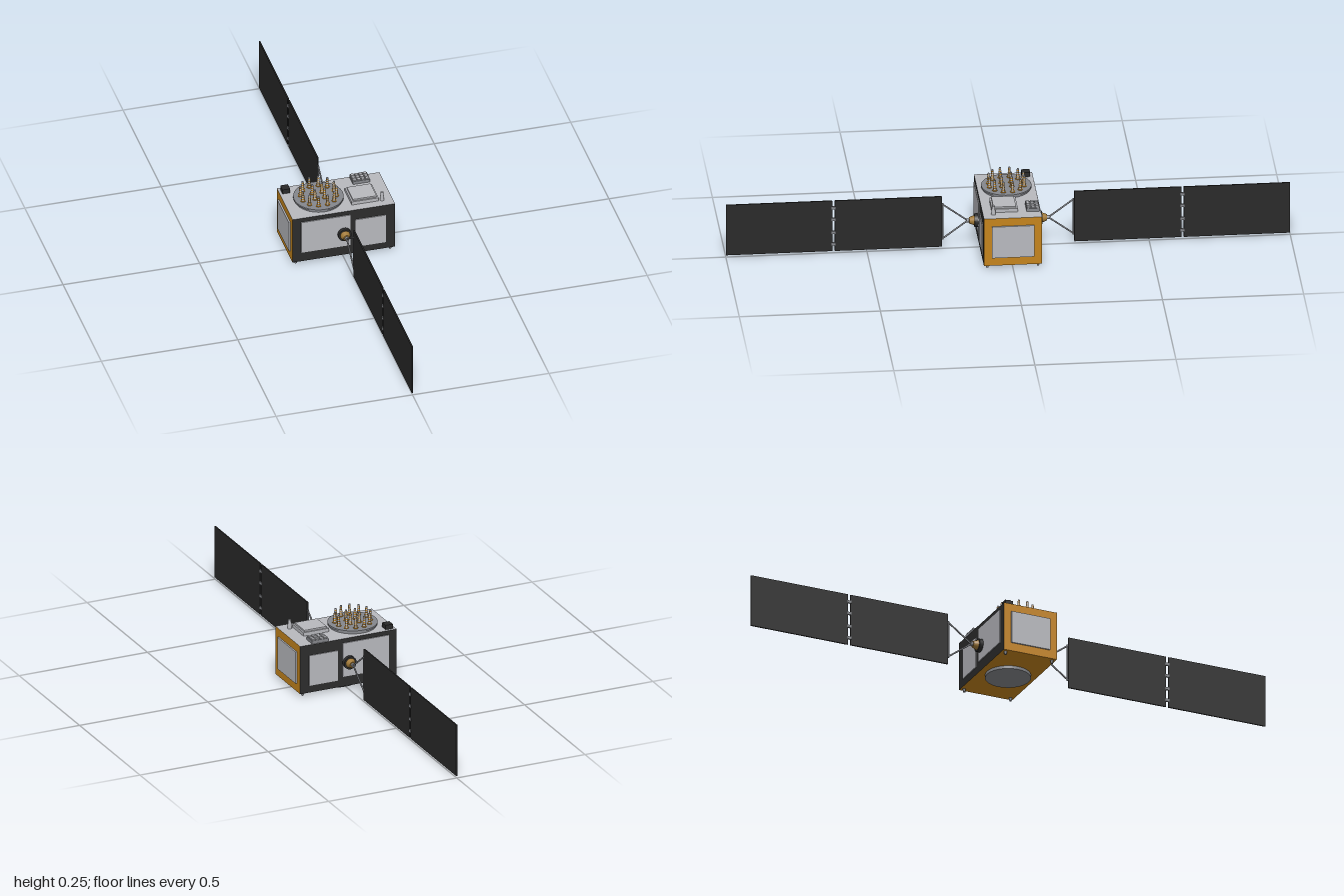
import * as THREE from 'three';

const mat = (name, color, side = THREE.FrontSide) => {
  const m = new THREE.MeshStandardMaterial({ color, side });
  m.name = name;
  return m;
};

export function createModel() {
  const gold = mat('gold foil', 0xc4841c);
  const dark = mat('dark blanket', 0x2c2c2c);
  const cell = mat('solar cell black', 0x292929);
  const light = mat('radiator grey', 0xb8b9be);
  const grey = mat('metal grey', 0x85878c);
  const tan = mat('hub bronze', 0xa27a38);

  const root = new THREE.Group();
  root.name = 'satellite';

  const add = (parent, name, geo, material, x = 0, y = 0, z = 0) => {
    const m = new THREE.Mesh(geo, material);
    m.name = name;
    m.position.set(x, y, z);
    parent.add(m);
    return m;
  };
  // box given by its extents
  const box = (parent, name, material, x0, x1, y0, y1, z0, z1) =>
    add(parent, name, new THREE.BoxGeometry(x1 - x0, y1 - y0, z1 - z0), material,
      (x0 + x1) / 2, (y0 + y1) / 2, (z0 + z1) / 2);
  // upright cylinder standing on y
  const cyl = (parent, name, material, rTop, rBottom, h, x, y, z, n = 20) =>
    add(parent, name, new THREE.CylinderGeometry(rTop, rBottom, h, n), material, x, y + h / 2, z);
  // round strut between two points
  const strut = (parent, name, material, a, b, r) => {
    const p = new THREE.Vector3(...a), q = new THREE.Vector3(...b);
    const d = q.clone().sub(p);
    const m = add(parent, name, new THREE.CylinderGeometry(r, r, d.length(), 10), material);
    m.position.copy(p).add(q).multiplyScalar(0.5);
    m.quaternion.setFromUnitVectors(new THREE.Vector3(0, 1, 0), d.normalize());
    return m;
  };

  // body: gold ends and base, grey top, dark front and back
  box(root, 'body', [gold, gold, light, gold, dark, dark], -0.188, 0.188, 0.013, 0.195, -0.103, 0.103);

  // radiators on the long faces and ends
  for (const s of [1, -1]) {
    const z = s * 0.1045;
    box(root, 'largeRadiator', light, -0.157, 0.023, 0.051, 0.179, z - 0.002, z + 0.002);
    box(root, 'smallRadiator', light, 0.042, 0.153, 0.04, 0.155, z - 0.002, z + 0.002);
    const x = s * 0.1905;
    box(root, 'endRadiator', light, x - 0.003, x + 0.003, 0.044, 0.165, -0.075, 0.075);
  }

  // launch ring and feet below
  cyl(root, 'launchRing', grey, 0.081, 0.081, 0.011, 0, 0, 0, 48);
  cyl(root, 'launchRingCollar', gold, 0.075, 0.075, 0.004, 0, 0.01, 0, 48);
  for (const x of [-0.173, 0.173])
    for (const z of [-0.09, 0.09]) {
      cyl(root, 'foot', grey, 0.006, 0.004, 0.013, x, 0.001, z, 12);
    }

  // antenna deck
  const deck = new THREE.Group();
  deck.name = 'antennaDeck';
  deck.position.set(-0.0645, 0.195, 0);
  root.add(deck);
  cyl(deck, 'deckBase', grey, 0.085, 0.085, 0.007, 0, 0, 0, 48);
  cyl(deck, 'deckPlate', grey, 0.089, 0.089, 0.006, 0, 0.007, 0, 48);

  const antenna = (r, angle) => {
    const g = new THREE.Group();
    g.name = 'helixAntenna';
    g.position.set(r * Math.cos(angle), 0.013, r * Math.sin(angle));
    deck.add(g);
    cyl(g, 'antennaFoot', gold, 0.009, 0.009, 0.002, 0, 0, 0, 16);
    cyl(g, 'antennaMast', light, 0.0035, 0.0055, 0.038, 0, 0.002, 0, 14);
    for (let i = 0; i < 4; i++) {
      const r0 = 0.0058 - i * 0.0005;
      cyl(g, 'antennaBand', gold, r0, r0 + 0.0002, 0.003, 0, 0.008 + i * 0.008, 0, 14);
    }
  };
  for (let i = 0; i < 12; i++) antenna(0.0637, (i + 0.5) * Math.PI / 6);
  for (let i = 0; i < 4; i++) antenna(0.025, (i + 0.5) * Math.PI / 2);

  // equipment on the top
  box(root, 'sensorBox', cell, -0.178, -0.15, 0.195, 0.212, -0.093, -0.063);
  box(root, 'equipmentBox', light, 0.038, 0.137, 0.195, 0.208, -0.022, 0.07);
  box(root, 'equipmentLid', light, 0.044, 0.131, 0.208, 0.214, -0.016, 0.064);
  cyl(root, 'hornAntenna', light, 0.005, 0.008, 0.033, 0.15, 0.195, 0.066);
  box(root, 'arrayTray', grey, 0.077, 0.14, 0.195, 0.207, -0.1, -0.053);
  for (let i = 0; i < 4; i++)
    for (let j = 0; j < 3; j++) {
      const x = 0.0855 + i * 0.0153, z = -0.0917 + j * 0.0152;
      box(root, 'arrayTile', light, x - 0.006, x + 0.006, 0.207, 0.211, z - 0.006, z + 0.006);
    }

  // solar wings, front and back
  for (const s of [1, -1]) {
    const wing = new THREE.Group();
    wing.name = s > 0 ? 'frontWing' : 'backWing';
    wing.rotation.y = s > 0 ? 0 : Math.PI;
    root.add(wing);
    const hub = (name, m, r1, r0, z0, z1) => {
      const c = add(wing, name, new THREE.CylinderGeometry(r1, r0, z1 - z0, 28), m, 0, 0.105, (z0 + z1) / 2);
      c.rotation.x = Math.PI / 2;
    };
    hub('hubFlange', dark, 0.024, 0.024, 0.102, 0.12);
    hub('hubCone', tan, 0.011, 0.018, 0.12, 0.138);
    hub('hubShaft', grey, 0.007, 0.007, 0.138, 0.148);
    for (const y of [0.172, 0.038])
      strut(wing, 'yokeArm', grey, [0, 0.105, 0.143], [0, y, 0.233], 0.003);
    strut(wing, 'yokeBar', grey, [0, 0.035, 0.231], [0, 0.175, 0.231], 0.003);
    box(wing, 'innerPanel', cell, -0.0025, 0.0025, 0.008, 0.203, 0.235, 0.614);
    box(wing, 'outerPanel', cell, -0.0025, 0.0025, 0.008, 0.203, 0.623, 1);
    for (const y of [0.035, 0.08, 0.13, 0.175])
      box(wing, 'panelHinge', grey, -0.0035, 0.0035, y - 0.005, y + 0.005, 0.611, 0.626);
  }
  return root;
}
